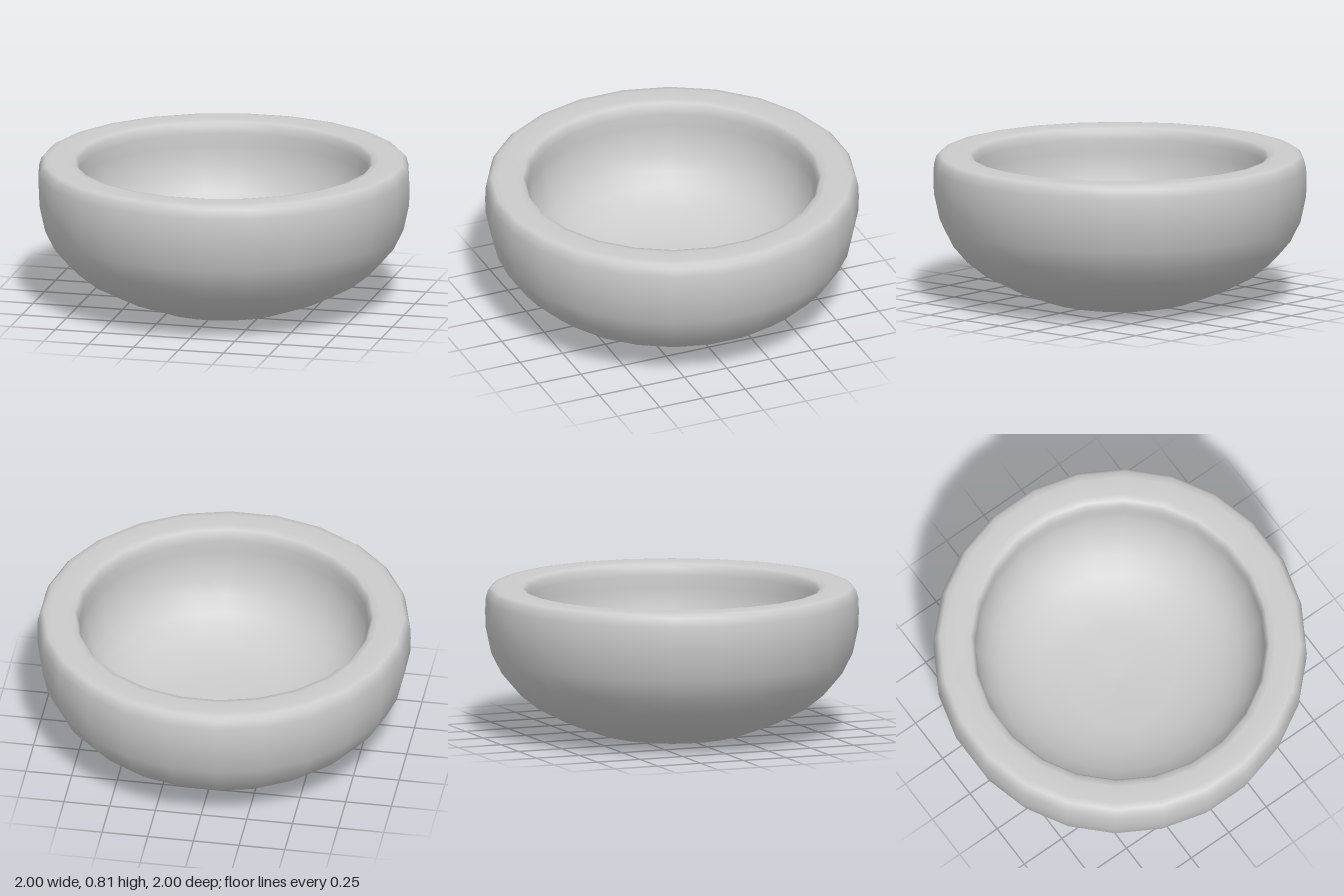
import * as THREE from 'three';

const SIDES = 24;
const START = Math.PI / SIDES; // flat sides face the axes
const K = 1 / Math.cos(START); // flat-to-flat radius -> corner radius

const material = new THREE.MeshStandardMaterial({ color: 0xcccccc });

function lathe(name, points) {
  const profile = points.map(([r, y]) => new THREE.Vector2(r * K, y));
  const mesh = new THREE.Mesh(new THREE.LatheGeometry(profile, SIDES, START), material);
  mesh.name = name;
  return mesh;
}

export function createModel() {
  const bowl = new THREE.Group();
  bowl.name = 'bowl';

  // Thick wall: up the outside, over the rounded rim, down to the inner floor
  bowl.add(lathe('bowlWall', [
    [0.35, 0], [0.40, 0.012], [0.58, 0.08], [0.735, 0.16], [0.835, 0.24],
    [0.912, 0.33], [0.967, 0.44], [0.997, 0.58], [1, 0.67], [0.997, 0.74],
    [0.985, 0.785], [0.965, 0.803], [0.93, 0.808],
    [0.835, 0.808], [0.80, 0.80], [0.785, 0.78], [0.777, 0.74],
    [0.777, 0.67], [0.772, 0.60], [0.75, 0.51], [0.71, 0.43], [0.65, 0.36],
    [0.56, 0.295], [0.44, 0.245], [0.28, 0.21], [0, 0.2],
  ]));

  // Flat underside
  const base = new THREE.Mesh(new THREE.CircleGeometry(0.35 * K, SIDES, START), material);
  base.name = 'base';
  base.rotation.x = Math.PI / 2;
  bowl.add(base);

  return bowl;
}
